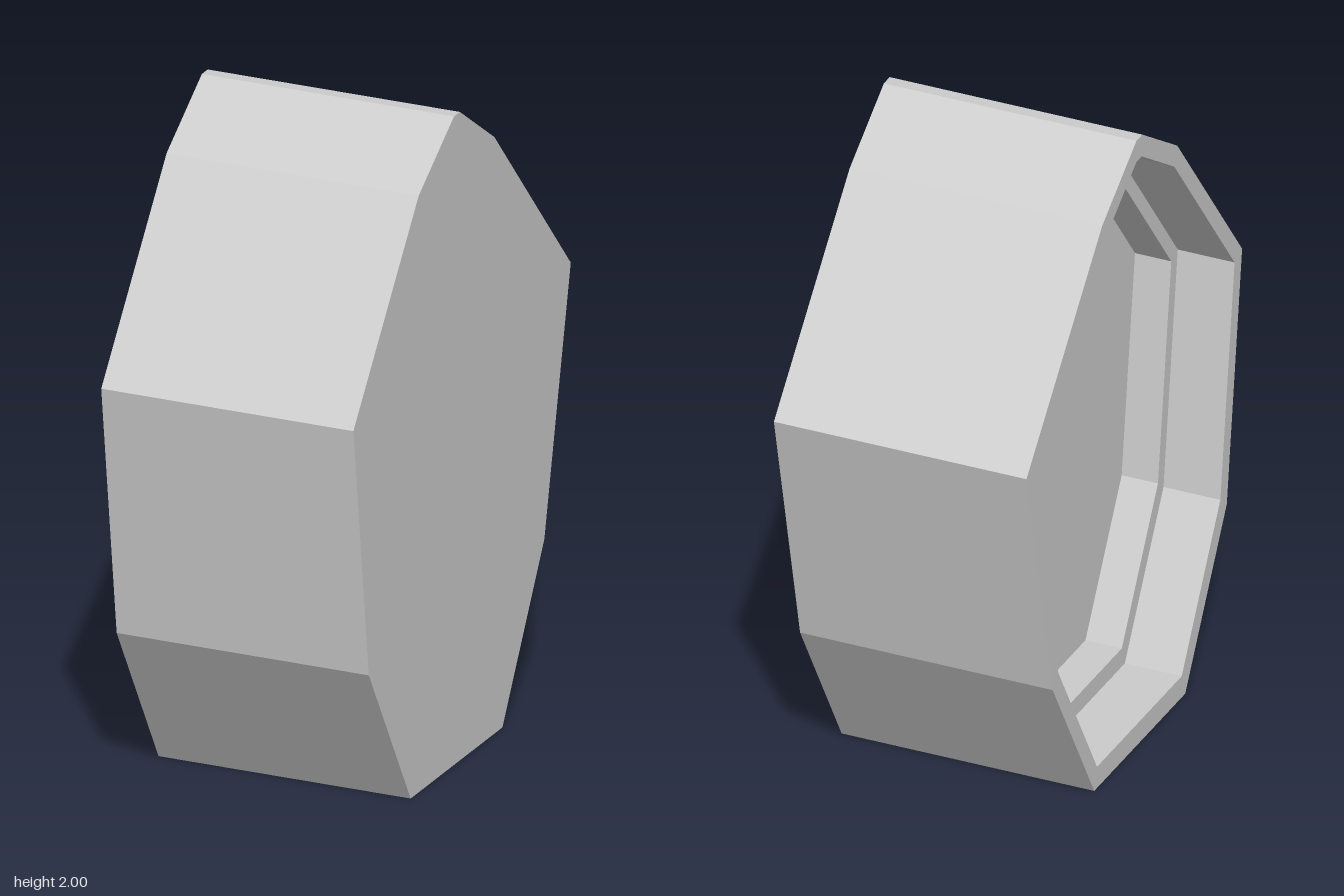
import * as THREE from 'three';

// Ten-sided outline as [z, y], scaled about the point z = 0, y = 1
const OUTLINE = [
  [0.055, 2], [0.015, 2], [-0.22, 1.84], [-0.74, 1.27], [-0.56, 0.48],
  [-0.275, 0], [0.35, 0], [0.635, 0.48], [0.74, 1.27], [0.295, 1.84],
];

// Lofts flat facets through sections given as [x, scale]; scale 0 closes an end
function loft(sections) {
  const corner = ([x, s], i) => {
    const [z, y] = OUTLINE[i % OUTLINE.length];
    return [x, 1 + (y - 1) * s, z * s];
  };
  const pos = [];
  for (let k = 0; k < sections.length - 1; k++) {
    const a = sections[k], b = sections[k + 1];
    for (let i = 0; i < OUTLINE.length; i++) {
      const a0 = corner(a, i), a1 = corner(a, i + 1);
      const b0 = corner(b, i), b1 = corner(b, i + 1);
      if (a[1] > 0) pos.push(...a0, ...a1, ...b1);
      if (b[1] > 0) pos.push(...a0, ...b1, ...b0);
    }
  }
  const geo = new THREE.BufferGeometry();
  geo.setAttribute('position', new THREE.Float32BufferAttribute(pos, 3));
  geo.computeVertexNormals();
  return geo;
}

export function createModel() {
  const group = new THREE.Group();
  group.name = 'facetedCap';
  const material = new THREE.MeshStandardMaterial({ color: 0xcccccc, flatShading: true });

  // Closed face, outer wall, rim, then the stepped recess down to its floor
  const shell = new THREE.Mesh(loft([
    [0.4, 0], [0.4, 1], [-0.4, 1],
    [-0.4, 0.93], [-0.22, 0.93],
    [-0.22, 0.87], [-0.105, 0.87], [-0.105, 0],
  ]), material);
  shell.name = 'steppedShell';
  group.add(shell);
  return group;
}
